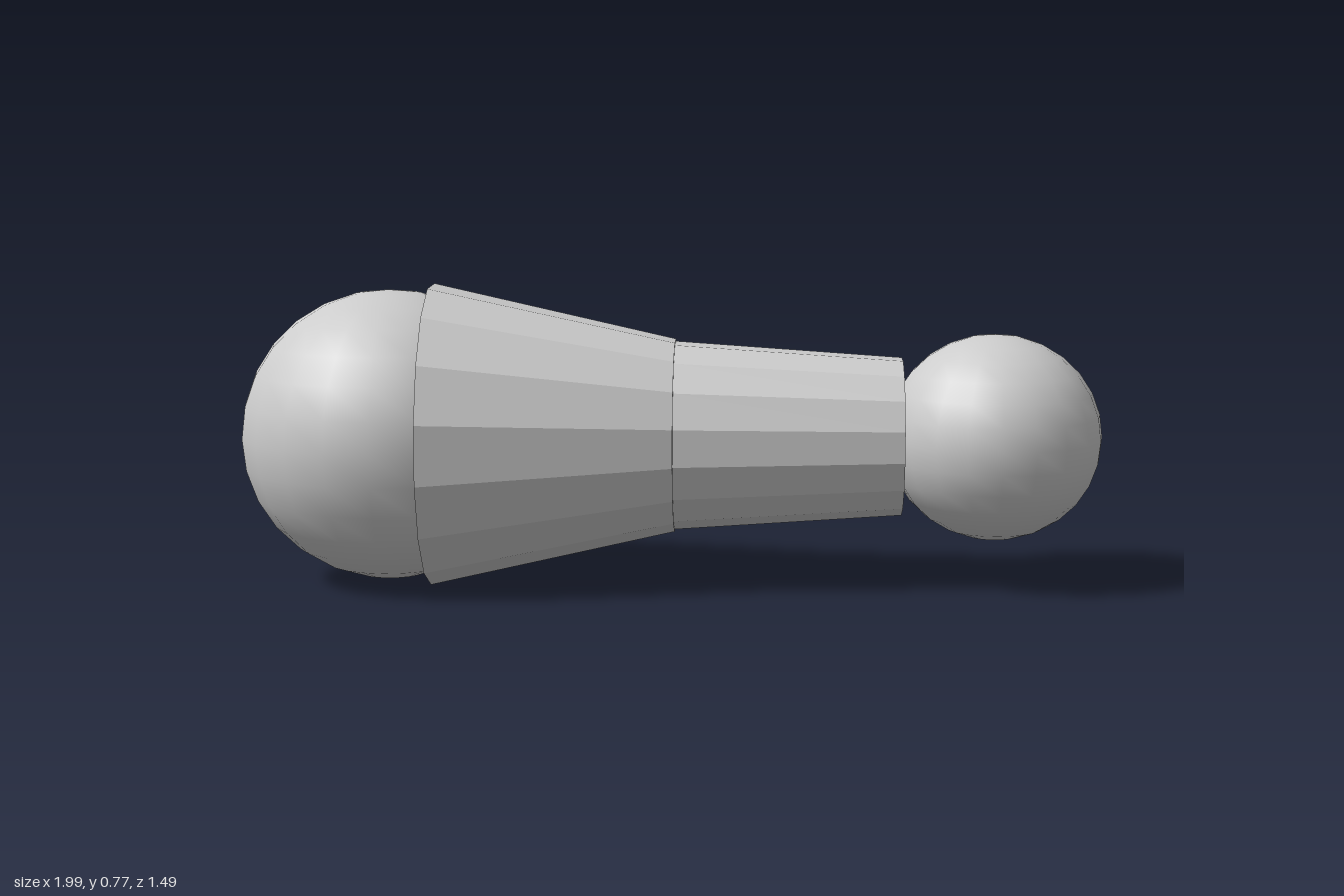
import * as THREE from 'three';

const SIDES = 16;

export function createModel() {
  const model = new THREE.Group();
  model.name = 'limb';

  const smoothGrey = new THREE.MeshStandardMaterial({ color: 0xcccccc });
  smoothGrey.name = 'light grey';
  const flatGrey = smoothGrey.clone();
  flatGrey.name = 'light grey faceted';
  flatGrey.flatShading = true;

  // the limb is laid out along its own x axis, with the middle joint at 0
  const limb = new THREE.Group();
  limb.name = 'limbAxis';
  limb.position.set(0.02, 0.39, 0.03);
  limb.rotation.y = -0.558;
  model.add(limb);

  // capped, tapered segment with a flat facet on top
  const segment = (name, x0, x1, r0, r1) => {
    const geometry = new THREE.CylinderGeometry(r1, r0, x1 - x0, SIDES);
    geometry.rotateY(Math.PI / SIDES).rotateZ(-Math.PI / 2);
    const mesh = new THREE.Mesh(geometry, flatGrey);
    mesh.name = name;
    mesh.position.x = (x0 + x1) / 2;
    limb.add(mesh);
  };

  // smooth ball, slightly flattened in height
  const ball = (name, x, radius, flatten) => {
    const mesh = new THREE.Mesh(new THREE.SphereGeometry(radius, 20, 14), smoothGrey);
    mesh.name = name;
    mesh.position.x = x;
    mesh.scale.y = flatten;
    limb.add(mesh);
  };

  segment('upperSegment', -0.631, 0, 0.392, 0.25);
  segment('lowerSegment', 0, 0.584, 0.244, 0.204);
  ball('largeBall', -0.741, 0.385, 0.975);
  ball('smallBall', 0.822, 0.277, 0.96);

  return model;
}
